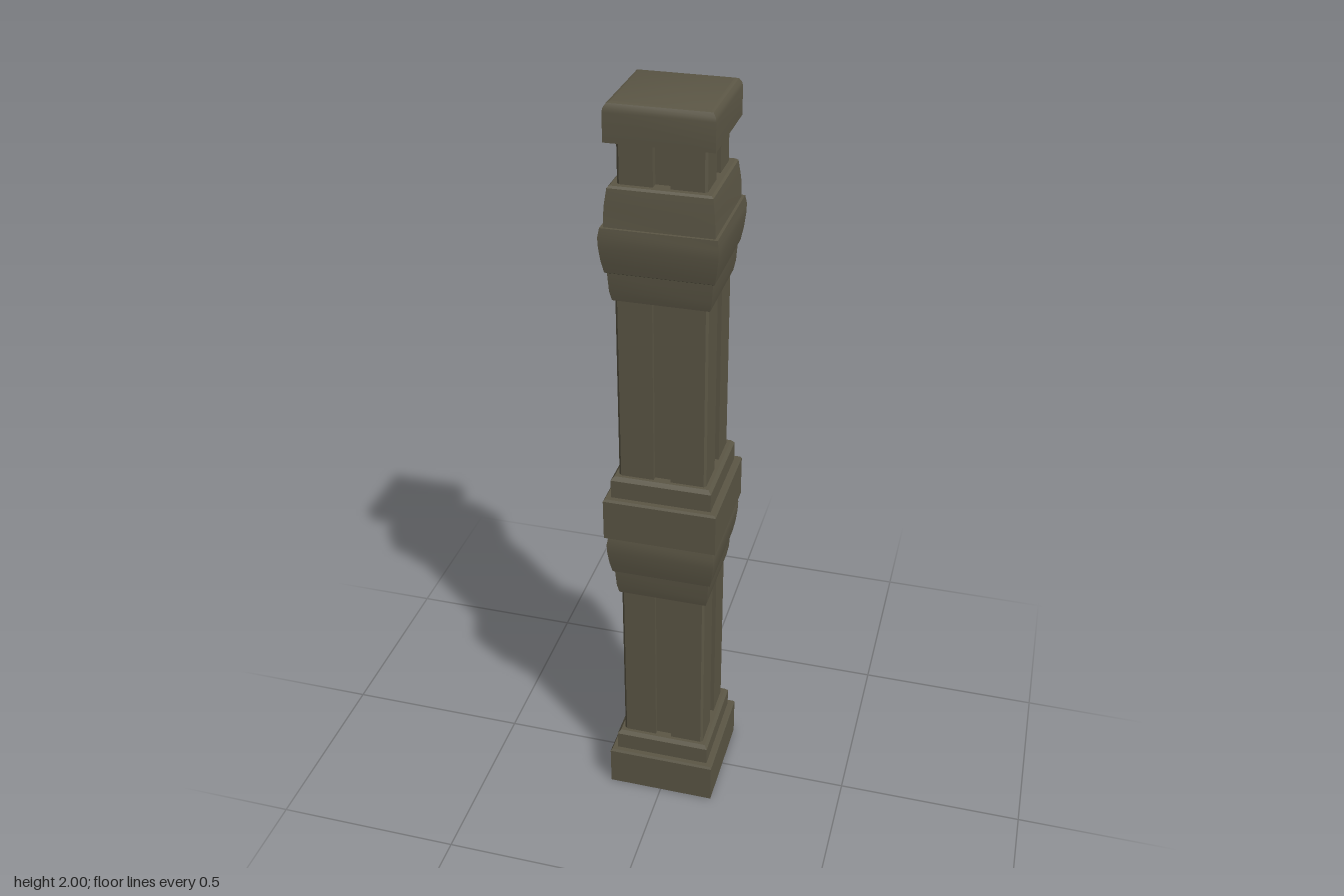
import * as THREE from 'three';
import { toCreasedNormals } from 'three/addons/utils/BufferGeometryUtils.js';

// Square moulding swept from a [halfWidth, y] profile, listed bottom to top
function moulding(profile) {
  const points = profile.map(([w, y]) => new THREE.Vector2(w * Math.SQRT2, y));
  return toCreasedNormals(new THREE.LatheGeometry(points, 4, Math.PI / 4), 0.45);
}

// Square shaft with chamfered corners and a groove down the middle of each side
function groovedShaft(half, groove, depth, bottom, top) {
  const c = 0.006;
  const side = [[-half + c, -half], [-groove, -half], [-groove, -half + depth],
    [groove, -half + depth], [groove, -half], [half - c, -half]];
  const points = [];
  for (let i = 0; i < 4; i++) {
    for (const [x, y] of side) {
      points.push(new THREE.Vector2(x, y).rotateAround(new THREE.Vector2(), i * Math.PI / 2));
    }
  }
  const geometry = new THREE.ExtrudeGeometry(new THREE.Shape(points), { depth: top - bottom, bevelEnabled: false });
  geometry.rotateX(-Math.PI / 2);
  geometry.translate(0, bottom, 0);
  return geometry;
}

export function createModel() {
  const group = new THREE.Group();
  const stone = new THREE.MeshStandardMaterial({ color: 0x5b5645 });
  stone.name = 'dark olive stone';

  const add = (name, geometry) => {
    const mesh = new THREE.Mesh(geometry, stone);
    mesh.name = name;
    group.add(mesh);
  };

  // Stepped plinth, shared by the foot and the middle block
  const step = (y) => [[0.147, y], [0.147, y + 0.112], [0.143, y + 0.118], [0.13, y + 0.118],
    [0.13, y + 0.168], [0.122, y + 0.178], [0, y + 0.178]];

  // Bowl-shaped collar with a narrower band below it
  const bowl = (y) => [[0, y], [0.118, y], [0.123, y + 0.025], [0.126, y + 0.072], [0.131, y + 0.075],
    [0.137, y + 0.105], [0.141, y + 0.14], [0.142, y + 0.165], [0.138, y + 0.187]];

  // Foot, hollowed underneath
  add('base', moulding([[0, 0.06], [0.09, 0.06], [0.1, 0], ...step(0)]));
  add('lowerShaft', groovedShaft(0.113, 0.022, 0.012, 0.17, 0.68));
  add('middleCollar', moulding([...bowl(0.668), [0, 0.858]]));
  add('middleBlock', moulding([[0, 0.858], ...step(0.858)]));
  add('upperShaft', groovedShaft(0.113, 0.022, 0.012, 1.02, 1.54));

  // Upper collar carries a tapered band on top
  add('upperCollar', moulding([...bowl(1.525), [0.131, 1.712], [0.129, 1.76],
    [0.123, 1.803], [0.118, 1.808], [0, 1.808]]));
  add('neck', groovedShaft(0.105, 0.02, 0.02, 1.8, 1.92));

  // Cap with softened top edges
  add('cap', moulding([[0, 1.91], [0.128, 1.91], [0.128, 1.978], [0.126, 1.988],
    [0.12, 1.997], [0.112, 2], [0, 2]]));

  return group;
}
